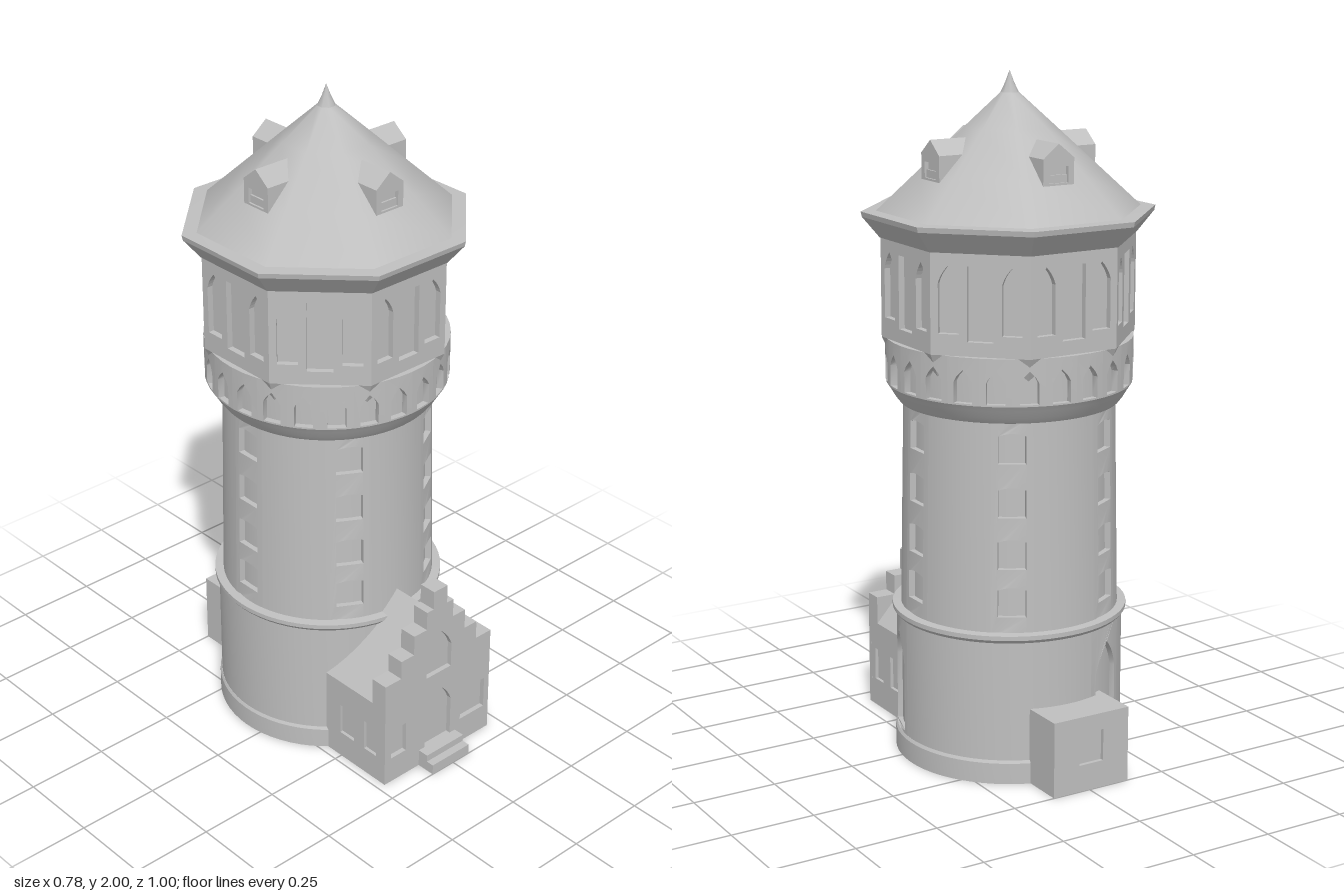
import * as THREE from 'three';
import { toCreasedNormals } from 'three/addons/utils/BufferGeometryUtils.js';

const stone = new THREE.MeshStandardMaterial({ color: 0xbfbfbf });
stone.name = 'stone';

const AXIS_Z = -0.06; // tower axis
const OCT = Math.cos(Math.PI / 8);
const rad = THREE.MathUtils.degToRad;

function add(parent, name, geo, x = 0, y = 0, z = 0, turn = 0) {
  const mesh = new THREE.Mesh(geo, stone);
  mesh.name = name;
  mesh.position.set(x, y, z);
  mesh.rotation.y = turn;
  parent.add(mesh);
  return mesh;
}

const v2 = (pts) => pts.map(([x, y]) => new THREE.Vector2(x, y));
const poly = (pts) => new THREE.Shape(v2(pts));
const rect = (x0, y0, x1, y1) => poly([[x0, y0], [x1, y0], [x1, y1], [x0, y1]]);
const extrude = (shape, depth) =>
  new THREE.ExtrudeGeometry(shape, { depth, bevelEnabled: false, curveSegments: 5 });

// Pointed arch opening
function lancet(cx, y0, w, top, rise) {
  const s = new THREE.Shape();
  const h = w / 2, spring = top - rise;
  s.moveTo(cx - h, y0);
  s.lineTo(cx + h, y0);
  s.lineTo(cx + h, spring);
  s.quadraticCurveTo(cx + h * 0.75, spring + rise * 0.55, cx, top);
  s.quadraticCurveTo(cx - h * 0.75, spring + rise * 0.55, cx - h, spring);
  return s;
}

// Turned parts: round with crisp profile edges, or eight-sided (radii are flat-to-centre)
const turned = (pts, start = 0, len = Math.PI * 2, segs = 64) =>
  toCreasedNormals(new THREE.LatheGeometry(v2(pts), segs, start, len), 0.4);
function octagon(pts, smooth = false) {
  const g = new THREE.LatheGeometry(v2(pts.map(([r, y]) => [r / OCT, y])), 8, Math.PI / 8);
  return smooth ? g : toCreasedNormals(g, 0.1);
}

// Wraps a flat extruded panel around the tower axis; radius(y) is its outer face
function bend(shape, depth, radius, nominal) {
  const g = extrude(shape, depth);
  const p = g.attributes.position;
  for (let i = 0; i < p.count; i++) {
    const a = p.getX(i) / nominal, y = p.getY(i);
    const r = radius(y) - depth + p.getZ(i);
    p.setXYZ(i, Math.sin(a) * r, y, Math.cos(a) * r);
  }
  return toCreasedNormals(g, 0.5);
}

// Round wall with pierced panels at given angles (degrees) and plain arcs between them
function piercedWall(parent, name, y0, y1, radius, depth, angles, panelDeg, holes) {
  const R = radius((y0 + y1) / 2), half = rad(panelDeg) / 2;
  const outline = [];
  for (let i = 0; i <= 6; i++) outline.push([R * half * (i / 3 - 1), y0]);
  for (let i = 6; i >= 0; i--) outline.push([R * half * (i / 3 - 1), y1]);
  const shape = poly(outline);
  shape.holes.push(...holes);
  const panel = bend(shape, depth, radius, R);
  angles.forEach((deg, i) => {
    const next = i + 1 < angles.length ? angles[i + 1] : angles[0] + 360;
    const len = rad(next - deg) - 2 * half;
    add(parent, name + 'Opening', panel, 0, 0, 0, rad(deg));
    add(parent, name, turned([[radius(y0), y0], [radius(y1), y1]], rad(deg) + half, len,
      Math.ceil(len / 0.09)));
  });
  add(parent, name + 'Recess', turned([[radius(y0) - depth, y0], [radius(y1) - depth, y1]]));
}

function buildTower() {
  const tower = new THREE.Group();
  tower.name = 'tower';
  tower.position.z = AXIS_Z;

  // Plinth, lower storey with two tall doors, and its ledge
  add(tower, 'plinth', turned([[0, 0], [0.338, 0], [0.338, 0.062], [0.333, 0.07], [0.3, 0.07]]));
  piercedWall(tower, 'lowerWall', 0.065, 0.43, () => 0.332, 0.015, [72, 207], 26,
    [lancet(0, 0.08, 0.11, 0.375, 0.09)]);
  add(tower, 'ledge', turned([[0.31, 0.425], [0.336, 0.425], [0.344, 0.435], [0.344, 0.448], [0.3, 0.452]]));

  // Tapering shaft with six columns of windows
  const windows = [0.495, 0.635, 0.785, 0.94].map((y) => {
    const s = new THREE.Shape();
    s.moveTo(-0.04, y);
    s.lineTo(0.04, y);
    s.lineTo(0.04, y + 0.08);
    s.quadraticCurveTo(0, y + 0.095, -0.04, y + 0.08);
    return s;
  });
  piercedWall(tower, 'shaft', 0.44, 1.065, (y) => 0.319 - (y - 0.44) * 0.02, 0.018,
    [30, 90, 150, 210, 270, 330], 22, windows);

  // Corbel and arcaded band
  add(tower, 'corbel', turned([[0.3, 1.055], [0.318, 1.06], [0.332, 1.078], [0.345, 1.1],
    [0.355, 1.115], [0.355, 1.12], [0.337, 1.12], [0.337, 1.24]]));
  const w = 0.357 * rad(15) / 2, arch = 0.027;
  const bay = poly([[-w, 1.12], [-arch, 1.12], [-arch, 1.18], [-arch * 0.65, 1.197], [0, 1.215],
    [arch * 0.65, 1.197], [arch, 1.18], [arch, 1.12], [w, 1.12], [w, 1.25], [0, 1.25], [-w, 1.25]]);
  const bayGeo = bend(bay, 0.02, () => 0.357, 0.357);
  for (let i = 0; i < 24; i++) add(tower, 'arcadeBay', bayGeo, 0, 0, 0, rad(7.5 + 15 * i));
  add(tower, 'bandTop', turned([[0.34, 1.249], [0.28, 1.25]]));

  // Eight-sided upper storey, three windows per side
  add(tower, 'drumFoot', octagon([[0.31, 1.18], [0.34, 1.25]]));
  add(tower, 'drumRecess', octagon([[0.322, 1.24], [0.322, 1.55]]));
  const half = 0.34 * Math.tan(Math.PI / 8);
  const side = rect(-half, 1.25, half, 1.545);
  side.holes.push(rect(-0.037, 1.29, 0.037, 1.5),
    lancet(-0.09, 1.31, 0.058, 1.5, 0.05), lancet(0.09, 1.31, 0.058, 1.5, 0.05));
  const sideGeo = extrude(side, 0.018);
  for (let i = 0; i < 8; i++) {
    const a = i * Math.PI / 4;
    add(tower, 'drumSide', sideGeo, Math.sin(a) * 0.322, 0, Math.cos(a) * 0.322, a);
  }

  // Eaves and roof
  add(tower, 'eaves', octagon([[0.3, 1.535], [0.342, 1.535], [0.388, 1.595], [0.391, 1.61], [0.345, 1.612]]));
  add(tower, 'roof', octagon([[0.352, 1.611], [0.24, 1.723], [0.12, 1.843], [0.024, 1.938]], true));
  add(tower, 'finial', octagon([[0.024, 1.938], [0.012, 1.965], [0, 2]], true));

  // Dormers on the four main sides
  const gable = () => poly([[-0.05, 1.7], [0.05, 1.7], [0.05, 1.78], [0, 1.82], [-0.05, 1.78]]);
  const front = gable();
  front.holes.push(rect(-0.031, 1.712, 0.031, 1.757));
  const bodyGeo = extrude(gable(), 0.165), frontGeo = extrude(front, 0.012);
  for (let i = 0; i < 4; i++) {
    const dormer = new THREE.Group();
    dormer.name = 'dormer';
    dormer.rotation.y = i * Math.PI / 2;
    add(dormer, 'dormerBody', bodyGeo, 0, 0, 0.08);
    add(dormer, 'dormerFront', frontGeo, 0, 0, 0.245);
    add(dormer, 'dormerSill', new THREE.BoxGeometry(0.062, 0.022, 0.006), 0, 1.723, 0.248);
    tower.add(dormer);
  }
  return tower;
}

// Entrance house with a stepped gable
function buildHouse() {
  const house = new THREE.Group();
  house.name = 'entranceHouse';
  house.position.x = -0.01;
  const stepped = (foot) => {
    const right = [[foot, 0], [foot, 0.27], [0.215, 0.27], [0.215, 0.355], [0.153, 0.355], [0.153, 0.415],
      [0.103, 0.415], [0.103, 0.48], [0.053, 0.48], [0.053, 0.54], [0.027, 0.54], [0.027, 0.6]];
    return poly([...right, ...right.map(([x, y]) => [-x, y]).reverse()]);
  };
  const facade = stepped(0.2151);
  facade.holes.push(lancet(0, 0.055, 0.106, 0.255, 0.07), lancet(0, 0.305, 0.1, 0.455, 0.07),
    rect(-0.19, 0.085, -0.13, 0.185), rect(0.095, 0.085, 0.195, 0.188));
  add(house, 'gableFront', extrude(facade, 0.015), 0, 0, 0.425);
  add(house, 'gableBack', extrude(stepped(0.205), 0.04), 0, 0, 0.385);
  add(house, 'houseBody', extrude(poly([[-0.205, 0], [0.205, 0], [0.205, 0.27], [0.215, 0.27],
    [0, 0.51], [-0.215, 0.27], [-0.205, 0.27]]), 0.385));

  // Side walls with two windows each
  const wall = rect(0, 0, 0.425, 0.27);
  wall.holes.push(rect(0.35, 0.085, 0.402, 0.185), rect(0.245, 0.085, 0.305, 0.185));
  const wallGeo = extrude(wall, 0.01);
  wallGeo.rotateY(-Math.PI / 2);
  for (const x of [0.215, -0.205]) add(house, 'houseSideWall', wallGeo, x, 0, 0);

  // Door steps
  add(house, 'upperStep', new THREE.BoxGeometry(0.15, 0.055, 0.04), 0, 0.0275, 0.455);
  add(house, 'lowerStep', new THREE.BoxGeometry(0.15, 0.033, 0.04), 0, 0.0165, 0.48);
  return house;
}

// Small flat-roofed annex at the back
function buildAnnex() {
  const annex = new THREE.Group();
  annex.name = 'annex';
  annex.position.x = -0.005;
  add(annex, 'annexBody', new THREE.BoxGeometry(0.25, 0.225, 0.2), 0, 0.1125, -0.388);
  const back = rect(-0.125, 0, 0.125, 0.225);
  back.holes.push(rect(-0.04, 0.08, 0.04, 0.175));
  add(annex, 'annexBackWall', extrude(back, 0.012), 0, 0, -0.488, Math.PI);
  return annex;
}

export function createModel() {
  const model = new THREE.Group();
  model.name = 'waterTower';
  model.add(buildTower(), buildHouse(), buildAnnex());
  return model;
}
